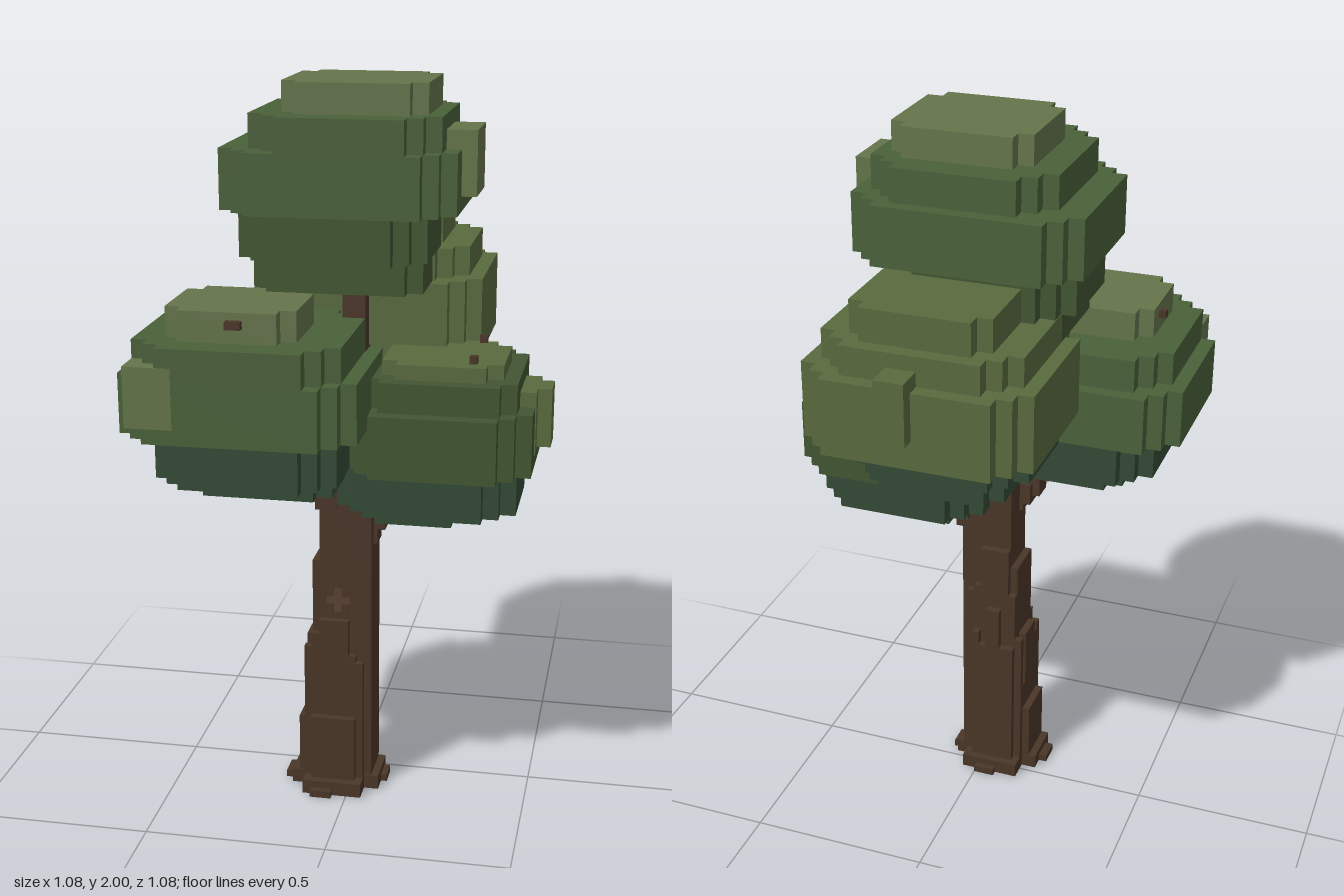
import * as THREE from 'three';
import { mergeGeometries } from 'three/addons/utils/BufferGeometryUtils.js';

const V = 1 / 24; // leaf voxel
const C = 1 / 48; // bark voxel
const LIGHT = 0x65754b, OLIVE = 0x596b3f, GREEN = 0x4a613a, MOSS = 0x425632, DARK = 0x344b36, BARK = 0x4a3628, KNOT = 0x5a4331;

const materials = {};
const mat = (color) => (materials[color] ??= new THREE.MeshStandardMaterial({ color, flatShading: true }));

function boxGeo(x0, x1, y0, y1, z0, z1) {
  return new THREE.BoxGeometry(x1 - x0, y1 - y0, z1 - z0)
    .translate((x0 + x1) / 2, (y0 + y1) / 2, (z0 + z1) / 2);
}

function addMesh(parent, name, geometry, color) {
  const mesh = new THREE.Mesh(geometry, mat(color));
  mesh.name = name;
  parent.add(mesh);
}

// Slab whose four corners are cut into voxel stairs
function slabGeo(x0, x1, y0, y1, z0, z1, steps) {
  const cx = (x0 + x1) / 2, cz = (z0 + z1) / 2, hx = (x1 - x0) / 2, hz = (z1 - z0) / 2;
  const corner = [];
  for (let i = 0; i <= steps; i++) {
    corner.push([hx - i * V, hz - (steps - i) * V]);
    if (i < steps) corner.push([hx - (i + 1) * V, hz - (steps - i) * V]);
  }
  const flipped = [...corner].reverse();
  const points = [
    ...corner,
    ...flipped.map(([x, z]) => [-x, z]),
    ...corner.map(([x, z]) => [-x, -z]),
    ...flipped.map(([x, z]) => [x, -z]),
  ].map(([x, z]) => new THREE.Vector2(x, z));
  return new THREE.ExtrudeGeometry(new THREE.Shape(points), { depth: y1 - y0, bevelEnabled: false })
    .rotateX(-Math.PI / 2).translate(cx, y0, cz);
}

// Leaf clumps: layers are [x0, x1, y0, y1, z0, z1, corner steps, colour]; bumps are boxes
const clumps = {
  topClump: {
    layers: [
      [-0.25, 0.2, 1.46, 1.54, -0.12, 0.21, 1, MOSS],
      [-0.29, 0.21, 1.54, 1.67, -0.17, 0.25, 2, MOSS],
      [-0.33, 0.29, 1.67, 1.83, -0.25, 0.29, 2, GREEN],
      [-0.25, 0.25, 1.83, 1.92, -0.21, 0.29, 2, GREEN],
      [-0.17, 0.21, 1.92, 2.0, -0.125, 0.21, 1, LIGHT],
    ],
    bumps: [[0.25, 0.33, 1.71, 1.88, -0.04, 0.125, LIGHT]],
  },
  rightClump: {
    layers: [
      [-0.375, 0, 0.96, 1.0, 0.08, 0.42, 1, DARK],
      [-0.46, 0.02, 1.0, 1.13, 0.04, 0.5, 2, DARK],
      [-0.54, 0.08, 1.13, 1.29, 0, 0.54, 2, GREEN],
      [-0.5, 0.04, 1.29, 1.38, 0.04, 0.54, 2, GREEN],
      [-0.42, -0.08, 1.38, 1.46, 0.17, 0.46, 1, LIGHT],
    ],
    bumps: [[-0.5, -0.375, 1.17, 1.33, 0.45, 0.541, LIGHT]],
  },
  leftClump: {
    layers: [
      [0.04, 0.33, 0.835, 0.88, -0.04, 0.21, 1, DARK],
      [-0.02, 0.46, 0.88, 1.0, -0.12, 0.29, 2, DARK],
      [0, 0.5, 1.0, 1.17, -0.17, 0.33, 2, MOSS],
      [0.06, 0.46, 1.17, 1.25, -0.12, 0.29, 1, MOSS],
      [0.1, 0.42, 1.25, 1.29, -0.04, 0.25, 1, OLIVE],
    ],
    bumps: [[0.45, 0.503, 1.04, 1.21, 0, 0.17, OLIVE], [0.46, 0.54, 1.05, 1.21, 0.04, 0.125, OLIVE]],
  },
  backClump: {
    layers: [
      [-0.17, 0.21, 1.08, 1.17, -0.33, -0.08, 1, DARK],
      [-0.25, 0.25, 1.17, 1.25, -0.41, 0, 2, DARK],
      [-0.29, 0.33, 1.25, 1.46, -0.5, 0.04, 2, OLIVE],
      [-0.25, 0.29, 1.46, 1.54, -0.46, 0, 2, OLIVE],
      [-0.17, 0.21, 1.54, 1.63, -0.42, -0.08, 1, OLIVE],
    ],
    bumps: [[0, 0.08, 1.33, 1.5, -0.54, -0.45, OLIVE]],
  },
};

function makeClump(name, { layers, bumps }) {
  const group = new THREE.Group();
  group.name = name;
  layers.forEach(([x0, x1, y0, y1, z0, z1, steps, color]) =>
    addMesh(group, 'leafLayer', slabGeo(x0, x1, y0, y1, z0, z1, steps), color));
  bumps.forEach(([x0, x1, y0, y1, z0, z1, color]) =>
    addMesh(group, 'leafBump', boxGeo(x0, x1, y0, y1, z0, z1), color));
  return group;
}

// Chain of bark cubes from a to b
function branchGeos(a, b, size) {
  const line = new THREE.LineCurve3(new THREE.Vector3(...a), new THREE.Vector3(...b));
  const count = Math.ceil(line.getLength() / (size * 0.6));
  return line.getPoints(count).map((p) => {
    const [x, y, z] = [p.x, p.y, p.z].map((v) => Math.round(v / C) * C);
    const h = size / 2;
    return boxGeo(x - h, x + h, y - h, y + h, z - h, z + h);
  });
}

function makeTrunk() {
  const group = new THREE.Group();
  group.name = 'trunk';
  let seed = 7;
  const random = () => (seed = (seed * 16807) % 2147483647) / 2147483647;

  // Upright bark columns, shorter toward the left, front and back edges
  const top = 0.95;
  const sideHeights = [top, 0.69, 0.46, 0.21];
  const frontHeights = [top, 0.52, 0.23];
  const backHeights = [top, 0.75, 0.56];
  const bark = [];
  for (let i = 0; i < 10; i++) {
    for (let j = 0; j < 10; j++) {
      const x = -0.146 + i * C, z = -0.021 + j * C;
      const corner = Math.abs(i - 4.5) + Math.abs(j - 4.5);
      if (corner > 7) continue;
      let height = Math.min(sideHeights[Math.max(0, 3 - i)], frontHeights[Math.max(0, j - 7)], backHeights[Math.max(0, 2 - j)]);
      if (corner > 5 && height > 0.3) height -= Math.floor(random() * 9) * C;
      bark.push(boxGeo(x, x + C, 0, height, z, z + C));
    }
  }
  // Root flare
  bark.push(
    boxGeo(-0.167, 0.083, 0, 0.04, 0.02, 0.15), boxGeo(-0.125, 0.042, 0, 0.04, -0.042, 0.21),
    boxGeo(-0.19, -0.12, 0, 0.02, 0.06, 0.125), boxGeo(0.04, 0.1, 0, 0.02, 0.04, 0.1),
    boxGeo(-0.06, 0, 0, 0.02, -0.06, 0), boxGeo(-0.1, -0.04, 0, 0.02, 0.17, 0.23));
  // Upper stem and hidden branches into each clump
  bark.push(
    boxGeo(-0.021, 0.042, 0.9, 1.5, 0.08, 0.13),
    ...branchGeos([-0.05, 0.85, 0.1], [-0.21, 1.08, 0.25], 0.0625),
    ...branchGeos([0.04, 0.78, 0.08], [0.2, 0.95, 0.08], 0.0625),
    ...branchGeos([0, 0.92, 0.06], [0.02, 1.2, -0.2], 0.0625));
  addMesh(group, 'bark', mergeGeometries(bark), BARK);

  // Knot on the front
  addMesh(group, 'knot', mergeGeometries([
    boxGeo(-0.065, 0, 0.565, 0.585, 0.12, 0.148), boxGeo(-0.043, -0.022, 0.54, 0.61, 0.12, 0.148)]), KNOT);
  return group;
}

export function createModel() {
  const tree = new THREE.Group();
  tree.name = 'tree';
  tree.add(makeTrunk());
  Object.entries(clumps).forEach(([name, spec]) => tree.add(makeClump(name, spec)));

  // Twig tips poking out of the leaves
  const tips = [[-0.43, 1.43, 0.27], [-0.24, 1.43, 0.47], [-0.22, 1.43, 0.47], [0.34, 1.3, -0.03], [0.34, 1.3, 0.2]];
  tips.forEach(([x, y, z]) =>
    addMesh(tree, 'twigTip', boxGeo(x - C / 2, x + C / 2, y - C / 2, y + C / 2, z - C / 2, z + C / 2), BARK));
  return tree;
}
